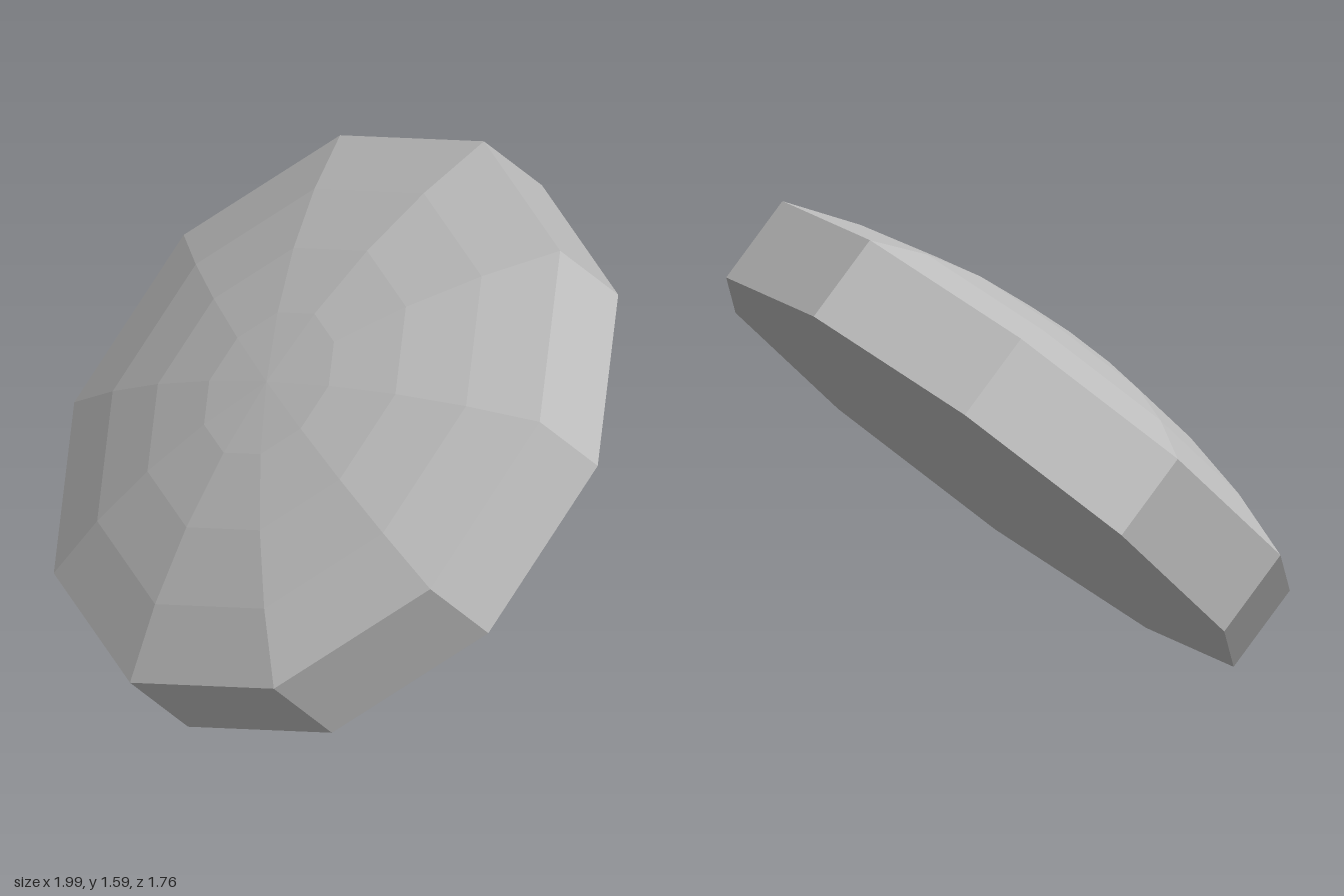
import * as THREE from 'three';

const SIDES = 10;
const RADIUS = 1.037;
const THICKNESS = 0.305;
const DOME = 0.213;   // rise of the shallow cap above the rim
const RINGS = 4;

// Faceted solid of revolution from a bottom-to-top profile
function facetedLathe(profile) {
  const points = profile.map(([r, y]) => new THREE.Vector2(r, y));
  const geometry = new THREE.LatheGeometry(points, SIDES).toNonIndexed();
  geometry.computeVertexNormals();
  return geometry;
}

export function createModel() {
  const group = new THREE.Group();
  group.name = 'tiltedDisc';
  const grey = new THREE.MeshStandardMaterial({ color: 0xc0c0c0 });
  grey.name = 'light grey';

  const add = (name, profile) => {
    const mesh = new THREE.Mesh(facetedLathe(profile), grey);
    mesh.name = name;
    disc.add(mesh);
  };

  // Tilted frame: y along the disc axis, z towards the lowest rim corner
  const disc = new THREE.Group();
  disc.name = 'disc';
  const axis = new THREE.Vector3(-0.21, 0.738, 0.642).normalize();
  const corner = new THREE.Vector3(0, -0.69, 0.775);
  corner.addScaledVector(axis, -corner.dot(axis)).normalize();
  const across = new THREE.Vector3().crossVectors(axis, corner);
  disc.quaternion.setFromRotationMatrix(new THREE.Matrix4().makeBasis(across, axis, corner));
  disc.position.set(-0.0325, 0.919, 0.0975);
  group.add(disc);

  // Flat underside and straight rim
  add('base', [[0, -THICKNESS], [RADIUS, -THICKNESS]]);
  add('rim', [[RADIUS, -THICKNESS], [RADIUS, 0]]);

  // Shallow spherical cap, from the rim up to the apex
  const angle = 2 * Math.atan(DOME / RADIUS);
  const sphere = RADIUS / Math.sin(angle);
  const cap = [];
  for (let i = RINGS; i >= 0; i--) {
    const a = (angle * i) / RINGS;
    cap.push([sphere * Math.sin(a), sphere * (Math.cos(a) - Math.cos(angle))]);
  }
  add('domedTop', cap);

  return group;
}
